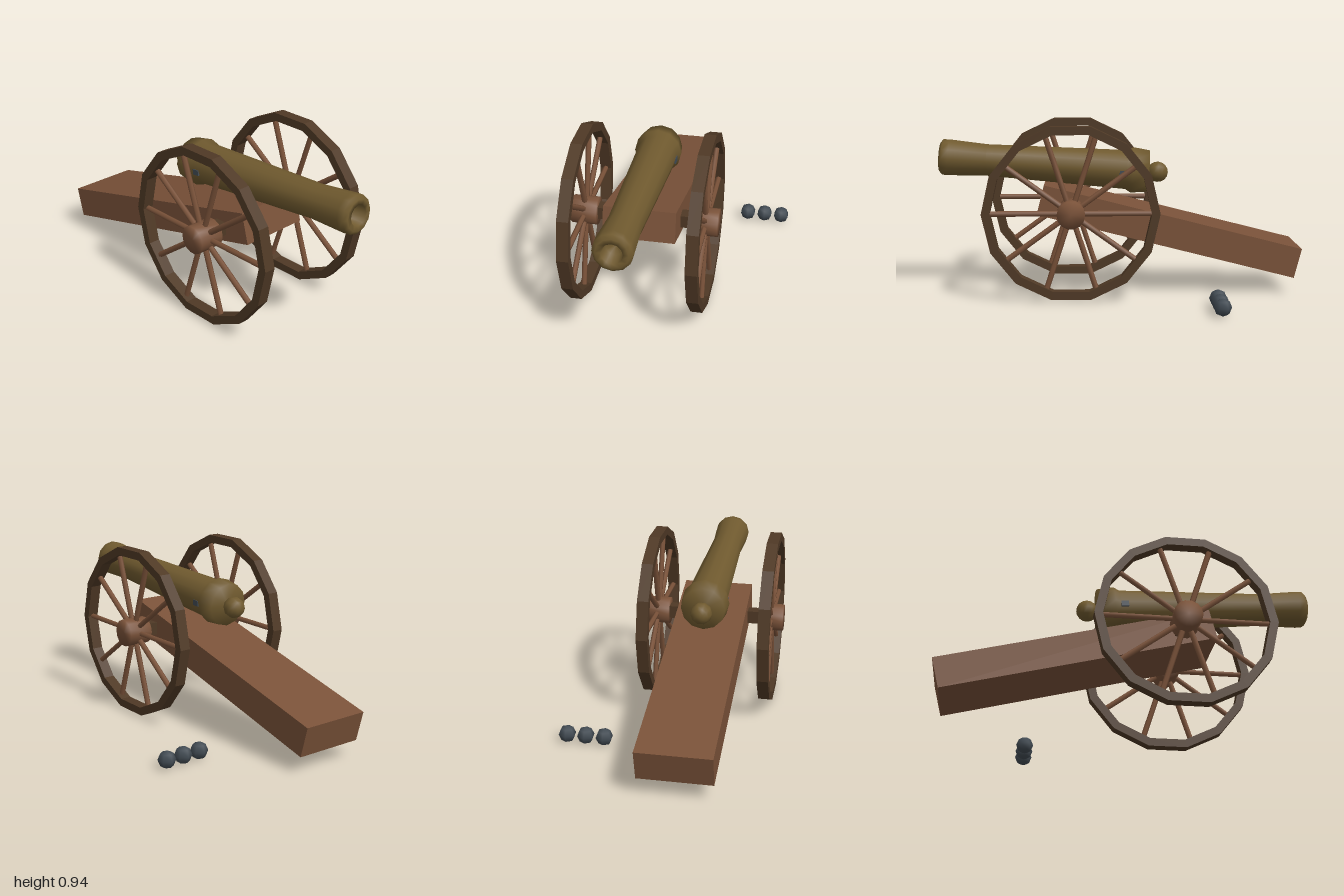
import * as THREE from 'three';
import { mergeVertices } from 'three/addons/utils/BufferGeometryUtils.js';

const material = (name, color) => {
  const m = new THREE.MeshStandardMaterial({ color });
  m.name = name;
  return m;
};

// Shares corner normals so caps blend softly into their sides
function softened(geometry) {
  geometry.deleteAttribute('uv');
  geometry.deleteAttribute('normal');
  const merged = mergeVertices(geometry);
  merged.computeVertexNormals();
  return merged;
}

function polygonPoints(radius, sides) {
  return Array.from({ length: sides }, (_, i) => {
    const a = (i / sides) * Math.PI * 2;
    return new THREE.Vector2(Math.cos(a) * radius, Math.sin(a) * radius);
  });
}

export function createModel() {
  const wood = material('warm wood', 0x7a5239);
  const darkWood = material('dark wood', 0x4f3925);
  const bronze = material('bronze', 0x705a2f);
  const iron = material('iron', 0x424b53);

  const root = new THREE.Group();
  root.name = 'fieldCannon';
  const CX = -0.156;

  function add(parent, name, geometry, mat, x = 0, y = 0, z = 0) {
    const mesh = new THREE.Mesh(geometry, mat);
    mesh.name = name;
    mesh.position.set(x, y, z);
    parent.add(mesh);
    return mesh;
  }

  // Sloping trail
  const trail = add(root, 'trail', new THREE.BoxGeometry(0.382, 0.167, 1.46), wood, CX, 0.351, -0.271);
  trail.rotation.x = -0.249;

  // Axle
  add(root, 'axle', new THREE.BoxGeometry(0.62, 0.07, 0.066), darkWood, CX, 0.48, 0.265);

  // Wheels: fourteen-sided rim, ten spokes, hub
  const rimShape = new THREE.Shape(polygonPoints(0.475, 14));
  rimShape.holes.push(new THREE.Path(polygonPoints(0.43, 14).reverse()));
  const rimGeometry = new THREE.ExtrudeGeometry(rimShape, { depth: 0.062, bevelEnabled: false });
  rimGeometry.translate(0, 0, -0.031).rotateY(Math.PI / 2);
  const spokeGeometry = new THREE.CylinderGeometry(0.015, 0.015, 0.4, 6);
  spokeGeometry.translate(0, 0.24, 0);
  const hubGeometry = softened(new THREE.CylinderGeometry(0.075, 0.075, 0.137, 14).rotateZ(Math.PI / 2));

  for (const [name, side] of [['leftWheel', 1], ['rightWheel', -1]]) {
    const wheel = new THREE.Group();
    wheel.name = name;
    wheel.position.set(CX + side * 0.323, 0.478, 0.268);
    add(wheel, 'rim', rimGeometry, darkWood);
    add(wheel, 'hub', hubGeometry, wood);
    for (let i = 0; i < 10; i++) {
      const spoke = add(wheel, 'spoke', spokeGeometry, wood);
      spoke.rotation.x = Math.PI / 2 + (i * Math.PI) / 5;
    }
    root.add(wheel);
  }

  // Gun: lathed barrel with a breech band, flared muzzle and hollow bore
  const gun = new THREE.Group();
  gun.name = 'gun';
  gun.position.set(CX, 0.665, -0.16);
  gun.rotation.x = Math.PI / 2 - 0.073;
  root.add(gun);

  const profile = [
    [0, 0], [0.117, 0], [0.128, 0.09], [0.11, 0.122], [0.088, 0.9],
    [0.1, 1.11], [0.099, 1.145], [0.08, 1.16], [0.053, 1.157], [0.045, 1.09], [0, 1.07],
  ].map(([r, s]) => new THREE.Vector2(r, s));
  add(gun, 'barrel', new THREE.LatheGeometry(profile, 12), bronze);
  add(gun, 'breechKnob', new THREE.SphereGeometry(0.058, 10, 8), bronze, 0, -0.053, 0);

  // Iron pin showing on both sides of the breech
  add(gun, 'breechPin', new THREE.BoxGeometry(0.226, 0.04, 0.03), iron, 0, 0.142, 0.012);

  // Three cannonballs on the ground
  const ballGeometry = new THREE.SphereGeometry(0.047, 6, 4).rotateY(Math.PI / 2);
  for (let i = 0; i < 3; i++) {
    add(root, 'cannonball', ballGeometry, iron, 0.305 + i * 0.1, 0.047, -0.504);
  }

  return root;
}
